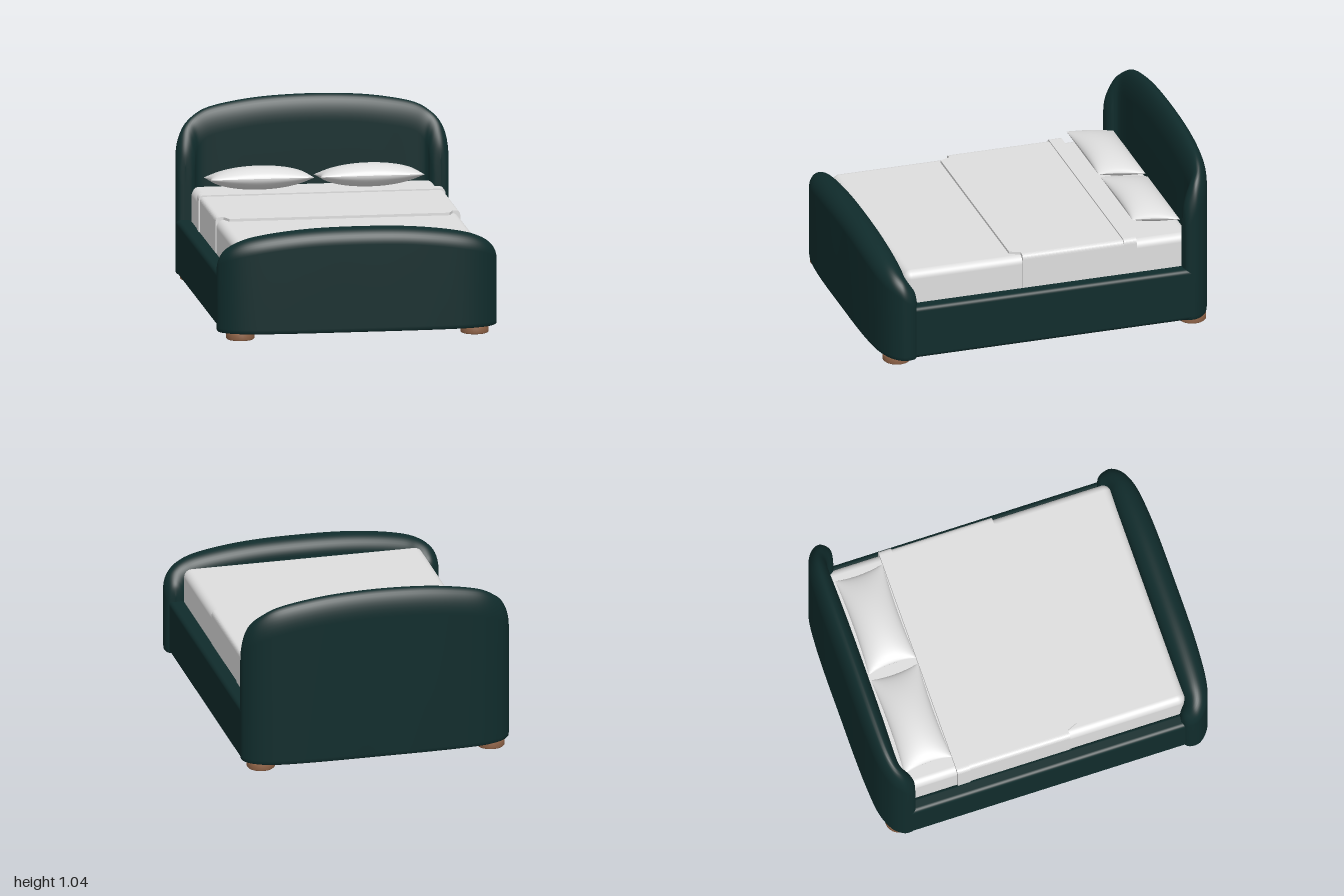
import * as THREE from 'three';
import { mergeGeometries } from 'three/addons/utils/BufferGeometryUtils.js';
import { RoundedBoxGeometry } from 'three/addons/geometries/RoundedBoxGeometry.js';

const material = (name, color) => Object.assign(new THREE.MeshStandardMaterial({ color }), { name });

// Upholstered board that wraps round the corners. Each row of half is
// outer x, outer z, inner x, inner z, top height, from the middle to the tip.
function wrapBoard(half, cap) {
  const rows = [
    ...half.slice(1).reverse().map(([ox, oz, ix, iz, h]) => [-ox, oz, -ix, iz, h]),
    ...half,
  ];
  const outer = new THREE.CatmullRomCurve3(rows.map(r => new THREE.Vector3(r[0], r[4], r[1])), false, 'catmullrom', 0.5);
  const inner = new THREE.CatmullRomCurve3(rows.map(r => new THREE.Vector3(r[2], r[4], r[3])), false, 'catmullrom', 0.5);
  const steps = 112, arc = 20, pos = [], index = [];
  let n = 0;
  for (let i = 0; i <= steps; i++) {
    const o = outer.getPoint(i / steps), q = inner.getPoint(i / steps);
    const section = [[0.86, 0.04], [0.96, 0.046], [1, 0.065]];
    for (let k = 0; k <= arc; k++) {
      const a = Math.PI * k / arc;
      section.push([Math.cos(a), o.y - cap + cap * Math.sin(a)]);
    }
    section.push([-1, 0.065], [-0.96, 0.046], [-0.86, 0.04]);
    n = section.length;
    for (const [f, y] of section) {
      const t = (1 - f) / 2;
      pos.push(o.x + (q.x - o.x) * t, y, o.z + (q.z - o.z) * t);
    }
  }
  // Rows run left to right; flip the winding when the outer side faces +z
  const front = half[0][1] > 0;
  for (let i = 0; i < steps; i++) {
    for (let k = 0; k < n; k++) {
      const a = i * n + k, b = i * n + (k + 1) % n, c = a + n, d = b + n;
      if (front) index.push(a, c, b, b, c, d);
      else index.push(a, b, c, b, d, c);
    }
  }
  const g = new THREE.BufferGeometry();
  g.setAttribute('position', new THREE.Float32BufferAttribute(pos, 3));
  g.setIndex(index);
  g.computeVertexNormals();
  return g;
}

// Bedding layer with rounded shoulders, hanging down both sides
function drape(w, top, z0, z1, r = 0.03) {
  const s = new THREE.Shape();
  s.moveTo(-w, 0.3);
  s.lineTo(w, 0.3);
  s.lineTo(w, top - r);
  s.quadraticCurveTo(w, top, w - r, top);
  s.lineTo(-w + r, top);
  s.quadraticCurveTo(-w, top, -w, top - r);
  return new THREE.ExtrudeGeometry(s, { depth: z1 - z0, bevelEnabled: false, curveSegments: 8 }).translate(0, 0, z0);
}

// Plump cushion with a sharp seam and pulled-out corners
function pillowGeometry(a, b, h) {
  const halves = [1, -1].map(side => {
    const g = new THREE.PlaneGeometry(2, 2, 28, 20).rotateX(-side * Math.PI / 2);
    const p = g.attributes.position;
    for (let i = 0; i < p.count; i++) {
      const u = Math.sin(p.getX(i) * Math.PI / 2), v = Math.sin(p.getZ(i) * Math.PI / 2);
      const bulge = Math.max(0, (1 - u * u) * (1 - v * v));
      p.setXYZ(i, a * u * (1 - 0.05 * (1 - v * v)), side * h * Math.pow(bulge, 0.55), b * v * (1 - 0.07 * (1 - u * u)));
    }
    g.computeVertexNormals();
    return g;
  });
  return mergeGeometries(halves);
}

export function createModel() {
  const model = new THREE.Group();
  model.name = 'bed';
  const fabric = material('darkGreenFabric', 0x102c2c);
  const linen = material('whiteLinen', 0xdedede);
  const wood = material('brownWood', 0x8f6347);

  const add = (name, geometry, mat, x = 0, y = 0, z = 0) => {
    const mesh = new THREE.Mesh(geometry, mat);
    mesh.name = name;
    mesh.position.set(x, y, z);
    model.add(mesh);
    return mesh;
  };

  // Upholstered frame
  add('headboard', wrapBoard([
    [0, -1, 0, -0.87, 1.04],
    [0.25, -1, 0.24, -0.87, 1.032],
    [0.45, -0.995, 0.42, -0.87, 1.01],
    [0.61, -0.98, 0.58, -0.87, 0.975],
    [0.72, -0.94, 0.64, -0.862, 0.925],
    [0.772, -0.885, 0.662, -0.845, 0.875],
    [0.78, -0.84, 0.672, -0.823, 0.81],
    [0.767, -0.81, 0.692, -0.806, 0.74],
    [0.73, -0.8, 0.73, -0.8, 0.66],
  ], 0.15), fabric);
  add('footboard', wrapBoard([
    [0, 1, 0, 0.83, 0.635],
    [0.25, 1, 0.24, 0.83, 0.63],
    [0.45, 0.995, 0.45, 0.83, 0.612],
    [0.62, 0.98, 0.6, 0.83, 0.585],
    [0.73, 0.945, 0.655, 0.828, 0.555],
    [0.79, 0.89, 0.678, 0.82, 0.52],
    [0.8, 0.84, 0.688, 0.806, 0.48],
    [0.785, 0.803, 0.705, 0.792, 0.44],
    [0.745, 0.785, 0.745, 0.785, 0.38],
  ], 0.09), fabric);
  for (const side of [1, -1]) {
    add(side > 0 ? 'leftRail' : 'rightRail', new RoundedBoxGeometry(0.09, 0.315, 1.74, 4, 0.025), fabric, side * 0.735, 0.1975, -0.01);
  }
  add('basePanel', new THREE.BoxGeometry(1.42, 0.2, 1.82), fabric, 0, 0.15, -0.01);

  // Mattress and bedding
  add('mattress', new RoundedBoxGeometry(1.39, 0.36, 1.7, 5, 0.045), linen, 0, 0.36, -0.015);
  add('blanket', drape(0.7, 0.555, -0.53, 0.14), linen);
  add('blanketFold', drape(0.706, 0.563, -0.535, -0.46), linen);
  const flap = new THREE.Shape([[-0.66, -0.1], [0.66, -0.1], [0.655, 0.14], [0.63, 0.2], [-0.63, 0.2], [-0.655, 0.14]]
    .map(([x, z]) => new THREE.Vector2(x, z)));
  add('blanketFlap', new THREE.ExtrudeGeometry(flap, { depth: 0.018, bevelEnabled: false }).rotateX(Math.PI / 2), linen, 0, 0.555, 0);

  // Pillows lean slightly back
  const pillow = pillowGeometry(0.297, 0.142, 0.068);
  add('rightPillow', pillow, linen, -0.327, 0.612, -0.685).rotation.x = -0.13;
  add('leftPillow', pillow, linen, 0.303, 0.612, -0.685).rotation.x = -0.13;

  // Round feet, four at the corners and two along the middle
  const foot = (name, r, x, z) => {
    const profile = [[0, 0], [r - 0.006, 0], [r, 0.006], [r, 0.036], [r - 0.005, 0.041], [0.03, 0.041], [0.03, 0.07]];
    add(name, new THREE.LatheGeometry(profile.map(p => new THREE.Vector2(...p)), 32), wood, x, 0, z);
  };
  for (const side of [1, -1]) {
    foot('frontFoot', 0.08, side * 0.67, 0.88);
    foot('backFoot', 0.08, side * 0.67, -0.875);
    foot('middleFoot', 0.062, 0, side * 0.418);
  }
  return model;
}
